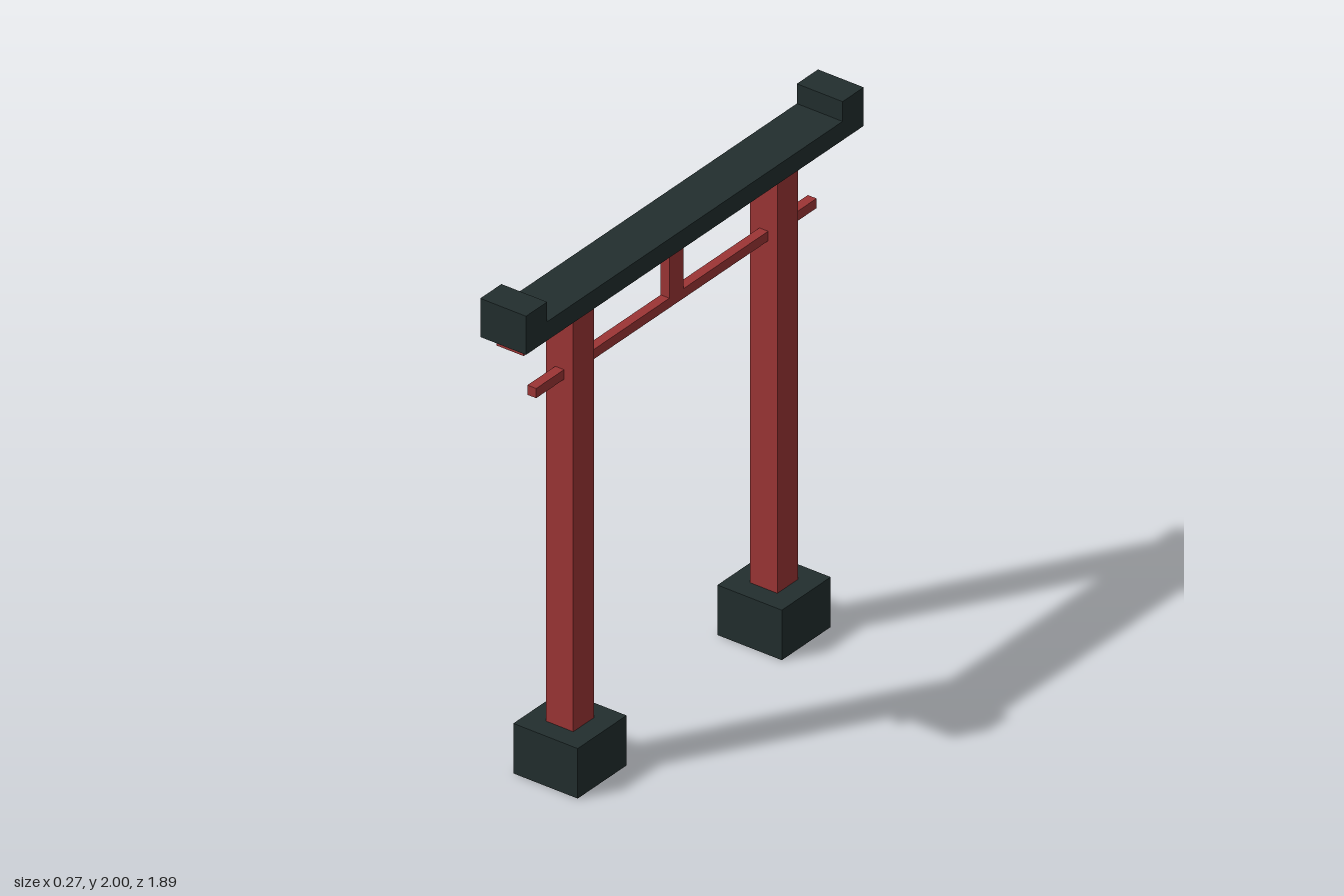
import * as THREE from 'three';

export function createModel() {
  const group = new THREE.Group();
  const red = new THREE.MeshStandardMaterial({ name: 'red paint', color: 0x9c3535 });
  const dark = new THREE.MeshStandardMaterial({ name: 'dark slate', color: 0x222e2e });

  // Box of width w (x) and depth d (z), spanning heights y0 to y1
  const box = (name, material, w, d, y0, y1, z = 0) => {
    const mesh = new THREE.Mesh(new THREE.BoxGeometry(w, y1 - y0, d), material);
    mesh.name = name;
    mesh.position.set(0, (y0 + y1) / 2, z);
    group.add(mesh);
  };

  // Two pillars on stone bases
  for (const [side, s] of [['front', 1], ['back', -1]]) {
    box(side + 'Base', dark, 0.273, 0.273, 0, 0.197, s * 0.57);
    box(side + 'Pillar', red, 0.115, 0.115, 0.197, 1.81, s * 0.57);
  }

  // Lintel, tie rail and the short strut between them
  box('lintel', red, 0.115, 1.808, 1.81, 1.848);
  box('tieRail', red, 0.037, 1.566, 1.572, 1.61);
  box('centreStrut', red, 0.037, 0.078, 1.61, 1.81);

  // Top beam with raised ends, one profile extruded across x
  const half = 0.943, inner = 0.825, bottom = 1.848, mid = 1.922, top = 2;
  const profile = new THREE.Shape([
    [-half, bottom], [half, bottom], [half, top], [inner, top],
    [inner, mid], [-inner, mid], [-inner, top], [-half, top],
  ].map(([z, y]) => new THREE.Vector2(z, y)));
  const width = 0.194;
  const geometry = new THREE.ExtrudeGeometry(profile, { depth: width, bevelEnabled: false });
  geometry.translate(0, 0, -width / 2).rotateY(Math.PI / 2);
  const beam = new THREE.Mesh(geometry, dark);
  beam.name = 'topBeam';
  group.add(beam);

  return group;
}
